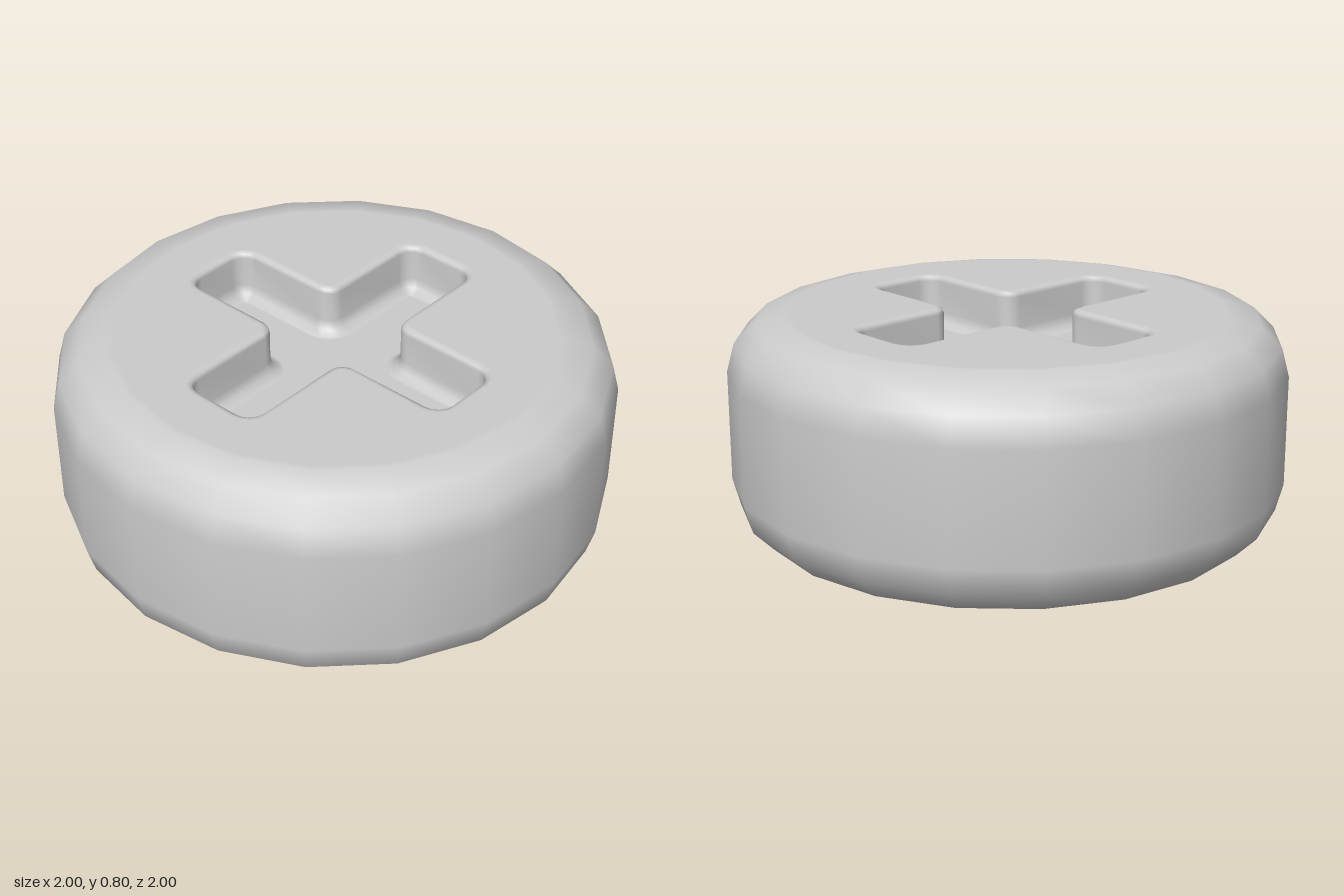
import * as THREE from 'three';

const SIDES = 20, HEIGHT = 0.8, BEVEL = 0.2, CAP_RADIUS = 0.78;
const FLOOR_Y = 0.615;

// Rounded plus-shaped outline, grown outwards by o, counter-clockwise
function crossOutline(o) {
  const a = 0.14, b = 0.15, len = 0.585, r = 0.06, steps = 4;
  const quarter = [];
  const arc = (cx, cy, rad, from, to) => {
    for (let i = 0; i <= steps; i++) {
      const t = (from + (to - from) * i / steps) * Math.PI / 180;
      quarter.push(new THREE.Vector2(cx + rad * Math.cos(t), cy + rad * Math.sin(t)));
    }
  };
  arc(len - r, b - r, r + o, 0, 90);
  arc(a + r, b + r, r - o, 270, 180);
  arc(a - r, len - r, r + o, 0, 90);
  const flip = (pts, sx, sy) => pts.map((p) => new THREE.Vector2(p.x * sx, p.y * sy));
  const reversed = [...quarter].reverse();
  return [...quarter, ...flip(reversed, -1, 1), ...flip(quarter, -1, -1), ...flip(reversed, 1, -1)];
}

// Horizontal flat face from a shape
function flatFace(shape, y) {
  return new THREE.ShapeGeometry(shape).rotateX(-Math.PI / 2).translate(0, y, 0);
}

// Recess wall: rounded rim, straight side, fillet into the floor
function recessWall(sections) {
  const pos = [], index = [];
  let n = 0;
  for (const [o, y] of sections) {
    const ring = crossOutline(o);
    n = ring.length;
    for (const p of ring) pos.push(p.x, y, -p.y);
  }
  for (let s = 0; s < sections.length - 1; s++) {
    for (let i = 0; i < n; i++) {
      const j = (i + 1) % n;
      const t0 = s * n + i, t1 = s * n + j, d0 = t0 + n, d1 = t1 + n;
      index.push(t0, t1, d0, t1, d1, d0);
    }
  }
  const geo = new THREE.BufferGeometry();
  geo.setAttribute('position', new THREE.Float32BufferAttribute(pos, 3));
  geo.setIndex(index);
  geo.computeVertexNormals();
  return geo;
}

export function createModel() {
  const group = new THREE.Group();
  group.name = 'crossRecessButton';
  const material = new THREE.MeshStandardMaterial({ color: 0xcccccc });
  const add = (name, geometry) => {
    const mesh = new THREE.Mesh(geometry, material);
    mesh.name = name;
    group.add(mesh);
  };

  // Round body with rounded lower and upper edges
  const profile = [new THREE.Vector2(0, 0), new THREE.Vector2(CAP_RADIUS, 0)];
  for (const [cy, start] of [[BEVEL, -90], [HEIGHT - BEVEL, 0]]) {
    for (let i = 0; i <= 3; i++) {
      const t = (start + i * 30) * Math.PI / 180;
      profile.push(new THREE.Vector2(1 - BEVEL + BEVEL * Math.cos(t), cy + BEVEL * Math.sin(t)));
    }
  }
  profile.push(new THREE.Vector2(CAP_RADIUS, HEIGHT));
  add('body', new THREE.LatheGeometry(profile, SIDES));

  // Recess sections as [outset, height]
  const sections = [
    [0.03, HEIGHT], [0.02, HEIGHT], [0.006, 0.794], [0, 0.78],
    [0, 0.665], [-0.012, 0.632], [-0.04, FLOOR_Y], [-0.05, FLOOR_Y],
  ];

  // Top face with the cross opening
  const rim = [];
  for (let i = 0; i < SIDES; i++) {
    const t = i / SIDES * Math.PI * 2;
    rim.push(new THREE.Vector2(CAP_RADIUS * Math.cos(t), CAP_RADIUS * Math.sin(t)));
  }
  const top = new THREE.Shape(rim);
  top.holes.push(new THREE.Path(crossOutline(sections[0][0])));
  add('topFace', flatFace(top, HEIGHT));

  // Cross recess
  add('recessWall', recessWall(sections));
  add('recessFloor', flatFace(new THREE.Shape(crossOutline(-0.05)), FLOOR_Y));
  return group;
}
